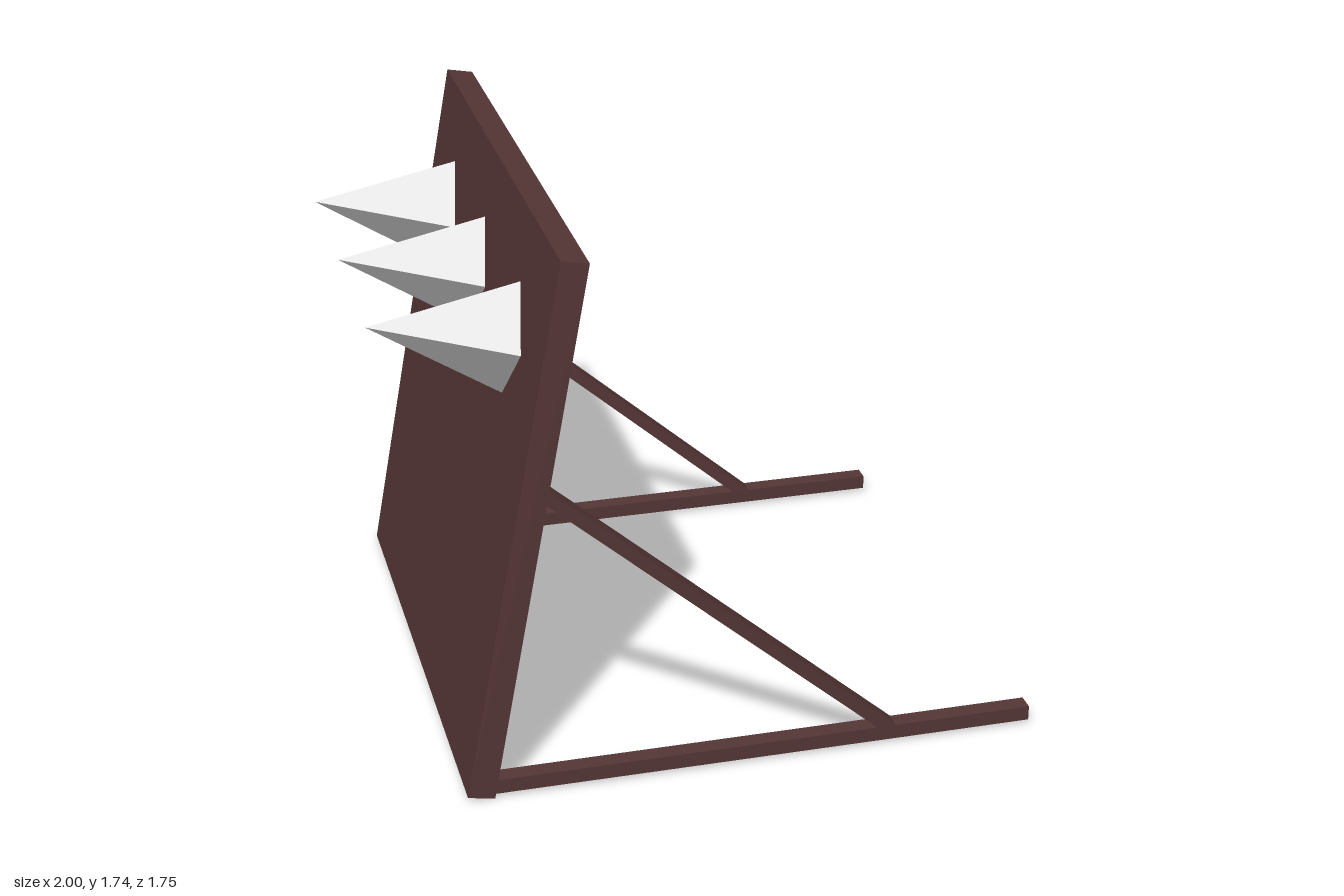
import * as THREE from 'three';

const wood = new THREE.MeshStandardMaterial({ color: 0x553636, flatShading: true });
const grey = new THREE.MeshStandardMaterial({ color: 0xcccccc, flatShading: true });

// Square timber between two points of the side profile, at depth z
function timber(name, [x1, y1], [x2, y2], thickness, z) {
  const length = Math.hypot(x2 - x1, y2 - y1);
  const mesh = new THREE.Mesh(new THREE.BoxGeometry(length, thickness, 0.056), wood);
  mesh.position.set((x1 + x2) / 2, (y1 + y2) / 2, z);
  mesh.rotation.z = Math.atan2(y2 - y1, x2 - x1);
  mesh.name = name;
  return mesh;
}

export function createModel() {
  const model = new THREE.Group();
  model.name = 'spikedBarricade';

  // Leaning shield: local y runs up the panel, local -x is the spiked face
  const shield = new THREE.Group();
  shield.name = 'shield';
  shield.position.set(-0.61, 0.868, 0);
  shield.rotation.z = -THREE.MathUtils.degToRad(10.3);
  model.add(shield);

  const panel = new THREE.Mesh(new THREE.BoxGeometry(0.085, 1.75, 1.745), wood);
  panel.name = 'panel';
  shield.add(panel);

  // Four-sided spikes, taller than wide, standing square to the panel
  const spikeGeometry = new THREE.ConeGeometry(1, 0.44, 4);
  spikeGeometry.rotateZ(Math.PI / 2);
  spikeGeometry.scale(1, 0.18, 0.14);
  for (const z of [-0.563, -0.05, 0.488]) {
    const spike = new THREE.Mesh(spikeGeometry, grey);
    spike.name = 'spike';
    spike.position.set(-0.0425 - 0.22, 0.48, z);
    shield.add(spike);
  }

  // Ground beam and diagonal brace on each side
  for (const z of [-0.83, 0.84]) {
    model.add(timber('groundBeam', [-0.75, 0.037], [1, 0.037], 0.048, z));
    model.add(timber('brace', [-0.57, 1.02], [0.555, 0.035], 0.04, z));
  }
  return model;
}
